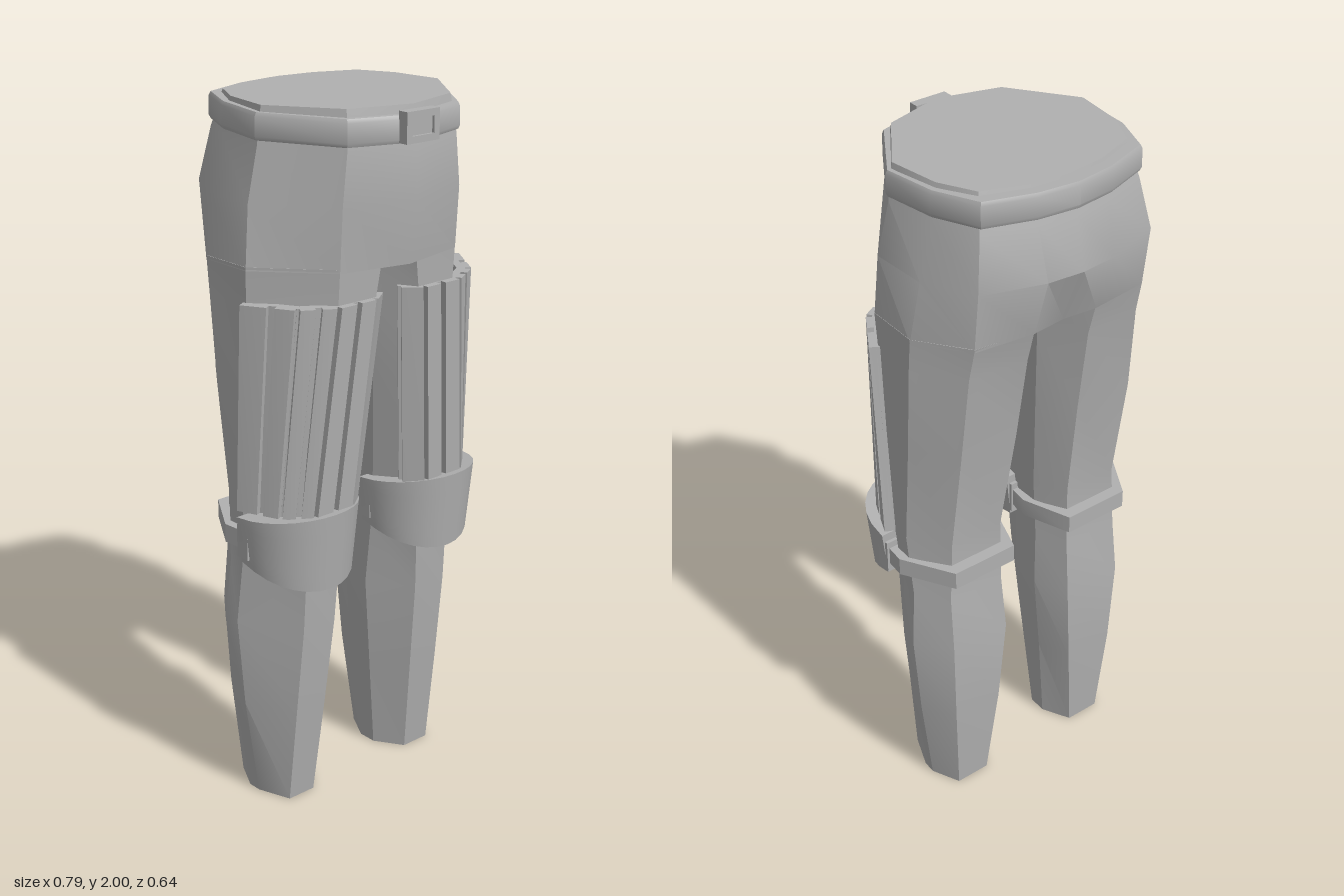
import * as THREE from 'three';
import { toCreasedNormals } from 'three/addons/utils/BufferGeometryUtils.js';

const grey = new THREE.MeshStandardMaterial({ color: 0xb0b0b0 });
grey.name = 'plain grey';

// Closed solid through rings of [x, y, z], top to bottom, each running front > left > back.
// side = -1 mirrors it across x.
function loft(name, rings, side = 1, crease = 0.5) {
  if (side < 0) rings = rings.map(r => r.map(([x, y, z]) => [-x, y, z]).reverse());
  const pos = [], n = rings[0].length;
  const tri = (a, b, c) => pos.push(...a, ...b, ...c);
  for (let i = 0; i < rings.length - 1; i++) {
    for (let j = 0; j < n; j++) {
      const k = (j + 1) % n, top = rings[i], low = rings[i + 1];
      tri(top[j], low[j], low[k]);
      tri(top[j], low[k], top[k]);
    }
  }
  const centre = r => [0, 1, 2].map(a => r.reduce((s, p) => s + p[a], 0) / n);
  const first = rings[0], last = rings[rings.length - 1];
  const c0 = centre(first), c1 = centre(last);
  for (let j = 0; j < n; j++) {
    const k = (j + 1) % n;
    tri(c0, first[j], first[k]);
    tri(c1, last[k], last[j]);
  }
  const g = new THREE.BufferGeometry();
  g.setAttribute('position', new THREE.Float32BufferAttribute(pos, 3));
  const mesh = new THREE.Mesh(toCreasedNormals(g, crease), grey);
  mesh.name = name;
  return mesh;
}

const ring = (y, pts) => pts.map(([x, z]) => [x, y, z]);
// Full symmetric ring from its left half (front centre to back centre)
const fullRing = (y, half) =>
  ring(y, [...half, ...half.slice(1, -1).reverse().map(([x, z]) => [-x, z])]);

const waist = [[0, .28], [.175, .23], [.3, .05], [.28, -.1], [.23, -.2], [.11, -.245], [0, -.258]];
const beltLine = [[0, .305], [.19, .25], [.319, .05], [.302, -.11], [.25, -.235], [.115, -.282], [0, -.297]];

function pelvis() {
  return loft('hips', [
    fullRing(2, waist),
    fullRing(1.9, [[0, .3], [.185, .245], [.314, .05], [.3, -.11], [.25, -.23], [.11, -.275], [0, -.288]]),
    fullRing(1.76, [[0, .303], [.2, .245], [.35, .055], [.345, -.115], [.275, -.255], [.105, -.31], [0, -.32]]),
    fullRing(1.59, [[0, .277], [.2, .235], [.365, .06], [.37, -.1], [.273, -.235], [.1, -.255], [0, -.245]]),
  ], 1, 0.6);
}

function belt() {
  const g = new THREE.Group();
  g.name = 'belt';
  const tilt = (y, s) => fullRing(y, beltLine.map(([x, z]) => [x * s, z * s]))
    .map(([x, yy, z]) => [x, yy - z * 0.025, z]);
  g.add(loft('beltStrap', [tilt(1.985, 0.985), tilt(1.975, 1), tilt(1.925, 1.005), tilt(1.915, 0.99)]));

  // Buckle frame with a plate behind the opening
  const s = new THREE.Shape([[-.055, 0], [.055, 0], [.055, .08], [-.055, .08]].map(p => new THREE.Vector2(...p)));
  s.holes.push(new THREE.Path([[-.037, .018], [-.037, .062], [.037, .062], [.037, .018]].map(p => new THREE.Vector2(...p))));
  const frame = new THREE.Mesh(new THREE.ExtrudeGeometry(s, { depth: .03, bevelEnabled: false }), grey);
  frame.name = 'buckleFrame';
  frame.position.set(0, 1.91, .288);
  const plate = new THREE.Mesh(new THREE.BoxGeometry(.08, .05, .02), grey);
  plate.name = 'bucklePlate';
  plate.position.set(0, 1.95, .3);
  g.add(frame, plate);
  return g;
}

// Eight-sided trouser leg: front in/out, outer front/back, back out/in, inner back/front
function trouserLeg(side) {
  return loft('trouserLeg', [
    ring(1.6, [[.06, .235], [.2, .235], [.365, .06], [.37, -.1], [.273, -.237], [.1, -.255], [.002, -.16], [.002, .12]]),
    ring(1.5, [[.075, .23], [.2, .228], [.362, .055], [.37, -.09], [.276, -.215], [.1, -.228], [.01, -.13], [.01, .12]]),
    ring(1.25, [[.095, .215], [.23, .213], [.362, .045], [.368, -.07], [.285, -.19], [.105, -.19], [.032, -.1], [.032, .1]]),
    ring(.93, [[.13, .185], [.255, .185], [.36, .02], [.362, -.035], [.285, -.14], [.12, -.14], [.07, -.05], [.07, .06]]),
    ring(.74, [[.145, .165], [.26, .165], [.352, 0], [.354, -.05], [.295, -.143], [.12, -.143], [.08, -.05], [.08, .04]]),
    ring(.57, [[.153, .155], [.262, .155], [.366, -.01], [.37, -.06], [.3, -.16], [.115, -.16], [.07, -.06], [.071, .03]]),
    ring(.3, [[.165, .125], [.266, .125], [.345, -.01], [.347, -.055], [.29, -.15], [.135, -.15], [.096, -.055], [.097, .02]]),
    ring(0, [[.18, .09], [.268, .09], [.306, -.005], [.308, -.045], [.27, -.128], [.165, -.128], [.123, -.045], [.125, .01]]),
  ], side, 0.4);
}

// Thigh guard: thin panel with raised slats following the front and outer thigh
const padTop = [[.025, .205], [.085, .25], [.21, .25], [.305, .195], [.387, .06]];
const padLow = [[.075, .165], [.135, .215], [.265, .215], [.335, .15], [.388, .03]];
function padBar(name, seg, f0, f1, drop, side) {
  const section = (path, y) => {
    const [a, b] = [path[seg], path[seg + 1]];
    const d = [b[0] - a[0], b[1] - a[1]], len = Math.hypot(...d);
    const n = [-d[1] / len, d[0] / len];
    const at = (f, o) => [a[0] + d[0] * f - n[0] * o, a[1] + d[1] * f - n[1] * o];
    return ring(y, [at(f0, drop), at(f1, drop), at(f1, .04), at(f0, .04)]);
  };
  return loft(name, [section(padTop, 1.505), section(padLow, .925)], side);
}
function thighGuard(side) {
  const g = new THREE.Group();
  g.name = 'thighGuard';
  const slats = [[[.12, .9]], [[.04, .42], [.56, .96]], [[.08, .42], [.58, .94]], [[.06, .4], [.54, 1]]];
  slats.forEach((list, seg) => {
    g.add(padBar('guardPanel', seg, 0, 1, .018, side));
    list.forEach(([f0, f1]) => g.add(padBar('guardSlat', seg, f0, f1, 0, side)));
  });
  return g;
}

// Rounded knee cap with arched top and bottom edges
function kneePad(side) {
  const steps = 14, rows = 4, rings = [];
  for (let r = 0; r <= rows; r++) {
    const v = r / rows, pts = [];
    for (let i = 0; i <= steps; i++) {
      const a = Math.PI * i / steps, bow = Math.sin(a);
      const y = THREE.MathUtils.lerp(.91 + .025 * bow, .775 - .065 * bow, v);
      pts.push([.217 - Math.cos(a) * (.177 - .014 * v), y, .035 + (.205 - .022 * v) * Math.pow(bow, .85)]);
    }
    rings.push(pts);
  }
  return loft('kneePad', rings, side, 0.7);
}

// Strap running around the back of the knee
function kneeStrap(side) {
  const line = [[.06, .06], [.375, .06], [.384, -.03], [.3, -.176], [.1, -.176], [.048, -.03]];
  return loft('kneeStrap', [ring(.865, line), ring(.812, line)], side);
}
function strapTab(side) {
  const line = [[.05, .07], [.386, .07], [.386, .025], [.05, .025]];
  return loft('strapTab', [ring(.885, line), ring(.79, line)], side);
}

export function createModel() {
  const model = new THREE.Group();
  model.name = 'armouredTrousers';
  model.add(pelvis(), belt());
  for (const side of [1, -1]) {
    const leg = new THREE.Group();
    leg.name = side > 0 ? 'leftLeg' : 'rightLeg';
    leg.add(trouserLeg(side), thighGuard(side), kneePad(side), kneeStrap(side), strapTab(side));
    model.add(leg);
  }
  return model;
}
